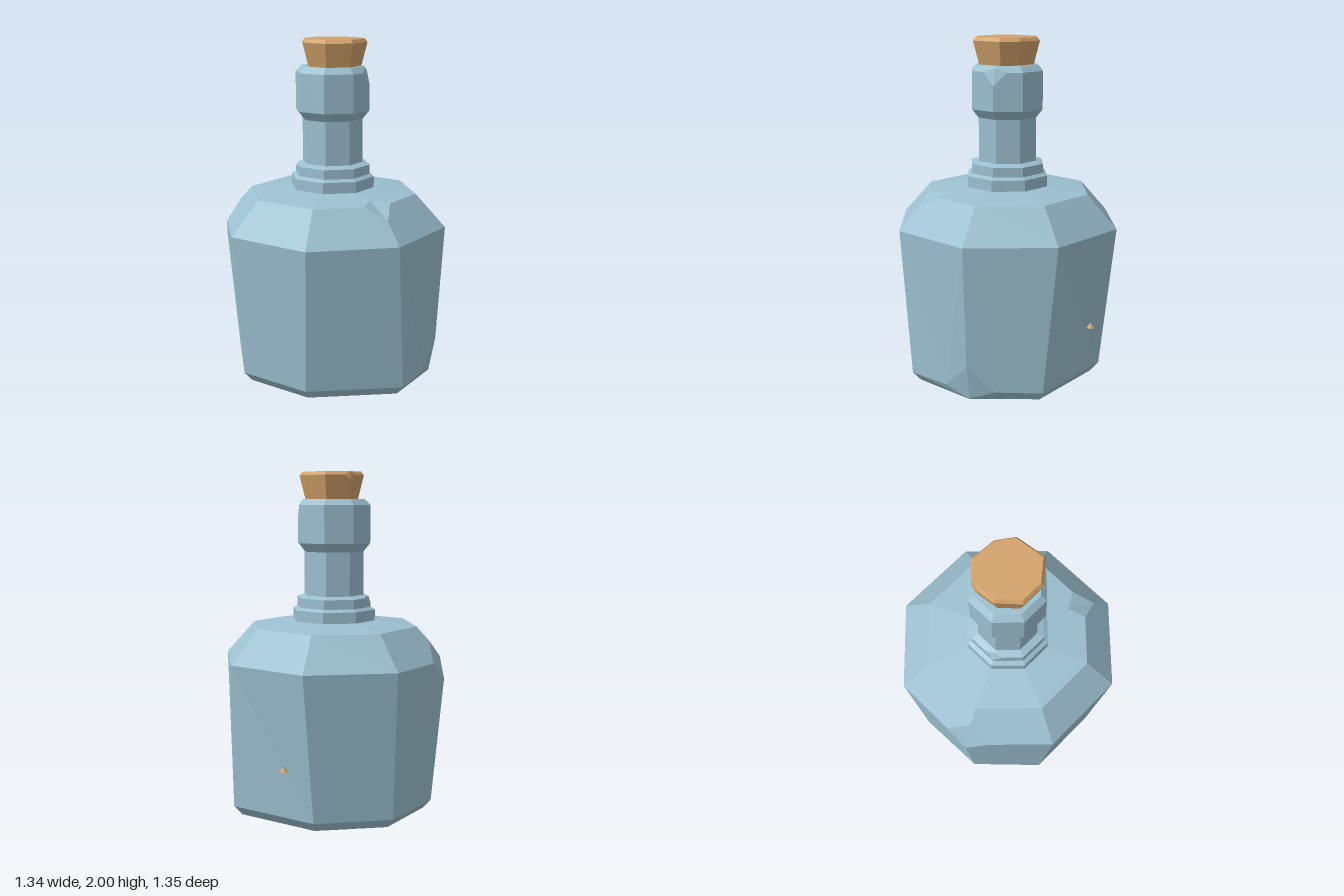
import * as THREE from 'three';

const SIDES = 8;
const CENTRE = -0.02;

// Octagonal ring: a corner points along each axis
function ring(y, r, cx = CENTRE) {
  return Array.from({ length: SIDES }, (_, j) => {
    const a = (j * Math.PI * 2) / SIDES;
    return new THREE.Vector3(cx + r * Math.cos(a), y, r * Math.sin(a));
  });
}

// Ring from explicit x, z corners
function ringFrom(y, corners) {
  return corners.map(([x, z]) => new THREE.Vector3(x, y, z));
}

// Joins rings with faceted sides. A chip cuts one corner off, at given
// fractions of the edges running up, down and sideways from it.
function facetedLoft(rings, chips = [], capBottom = false, capTop = false) {
  const pos = [];
  const polygon = (pts) => {
    for (let k = 1; k < pts.length - 1; k++) {
      for (const p of [pts[0], pts[k], pts[k + 1]]) pos.push(p.x, p.y, p.z);
    }
  };
  const at = ([i, j]) => rings[i][(j + SIDES) % SIDES];
  const chipAt = ([i, j]) => chips.find((c) => c.ring === i && c.side === j % SIDES);
  const cut = (chip, from, to) => {
    const t = to[0] > from[0] ? chip.up : to[0] < from[0] ? chip.down : chip.across;
    return at(from).clone().lerp(at(to), t);
  };

  for (let i = 0; i < rings.length - 1; i++) {
    for (let j = 0; j < SIDES; j++) {
      const quad = [[i, j], [i + 1, j], [i + 1, j + 1], [i, j + 1]];
      polygon(quad.flatMap((c, k) => {
        const chip = chipAt(c);
        if (!chip) return [at(c)];
        return [cut(chip, c, quad[(k + 3) % 4]), cut(chip, c, quad[(k + 1) % 4])];
      }));
    }
  }
  for (const chip of chips) {
    const { ring: i, side: j } = chip;
    polygon([[i + 1, j], [i, j + 1], [i - 1, j], [i, j - 1]].map((n) => cut(chip, [i, j], n)));
  }
  if (capBottom) polygon(rings[0]);
  if (capTop) polygon([...rings[rings.length - 1]].reverse());

  const geometry = new THREE.BufferGeometry();
  geometry.setAttribute('position', new THREE.Float32BufferAttribute(pos, 3));
  geometry.computeVertexNormals();
  return geometry;
}

export function createModel() {
  const glass = new THREE.MeshStandardMaterial({ color: 0x9cc0d0 });
  glass.name = 'paleBlueGlass';
  const corkBrown = new THREE.MeshStandardMaterial({ color: 0xd2a26a });
  corkBrown.name = 'corkBrown';

  const model = new THREE.Group();
  model.name = 'corkedBottle';
  const add = (name, geometry, material) => {
    const mesh = new THREE.Mesh(geometry, material);
    mesh.name = name;
    model.add(mesh);
    return mesh;
  };

  // Body: slightly twisted foot, flared wall, sloping shoulder, chipped corners
  const foot = [
    [0.61, 0], [0.48, 0.405], [-0.05, 0.58], [-0.465, 0.405],
    [-0.62, 0], [-0.465, -0.405], [-0.05, -0.58], [0.48, -0.405],
  ];
  const base = foot.map(([x, z]) => [x * 0.92, z * 0.92]);
  base[0][0] = 0.58;
  add('body', facetedLoft(
    [
      ringFrom(0.005, base),
      ringFrom(0.062, foot),
      ring(0.915, 0.677),
      ring(1.107, 0.5),
      ring(1.137, 0.24),
    ],
    [
      { ring: 1, side: 0, up: 0.18, down: 0.95, across: 0.37 },
      { ring: 2, side: 4, up: 0.57, down: 0.13, across: 0.28 },
      { ring: 3, side: 1, up: 0.42, down: 0.37, across: 0.25 },
    ],
    true
  ), glass);

  // Neck: stepped collar, straight throat and thick lip
  const profile = [
    [1.125, 0.25], [1.2, 0.25], [1.215, 0.225], [1.27, 0.225], [1.285, 0.18],
    [1.54, 0.18], [1.59, 0.22], [1.81, 0.22], [1.845, 0.185],
  ];
  add('neck', facetedLoft(
    profile.map(([y, r]) => ring(y, r)),
    [
      { ring: 3, side: 4, up: 0.6, down: 0.7, across: 0.35 },
      { ring: 7, side: 0, up: 0.7, down: 0.34, across: 0.45 },
    ],
    false, true
  ), glass);

  // Cork: hand-cut stopper, wider at the top
  const top = [
    [0.18, -0.03], [0.13, 0.15], [-0.02, 0.195], [-0.15, 0.14],
    [-0.2, 0], [-0.16, -0.14], [-0.02, -0.2], [0.12, -0.13],
  ];
  const scaled = (s) => top.map(([x, z]) => [-0.01 + (x + 0.01) * s, z * s]);
  add('cork', facetedLoft(
    [
      ringFrom(1.83, scaled(0.8)),
      ringFrom(1.98, top),
      ringFrom(2.0, scaled(0.92)),
    ],
    [{ ring: 1, side: 5, up: 0.9, down: 0.15, across: 0.3 }],
    true, true
  ), corkBrown);

  // Small sliver of cork lodged in the back wall
  const sliver = add('corkSliver', new THREE.ConeGeometry(0.025, 0.03, 4), corkBrown);
  sliver.position.set(0.12, 0.363, -0.575);

  return model;
}
